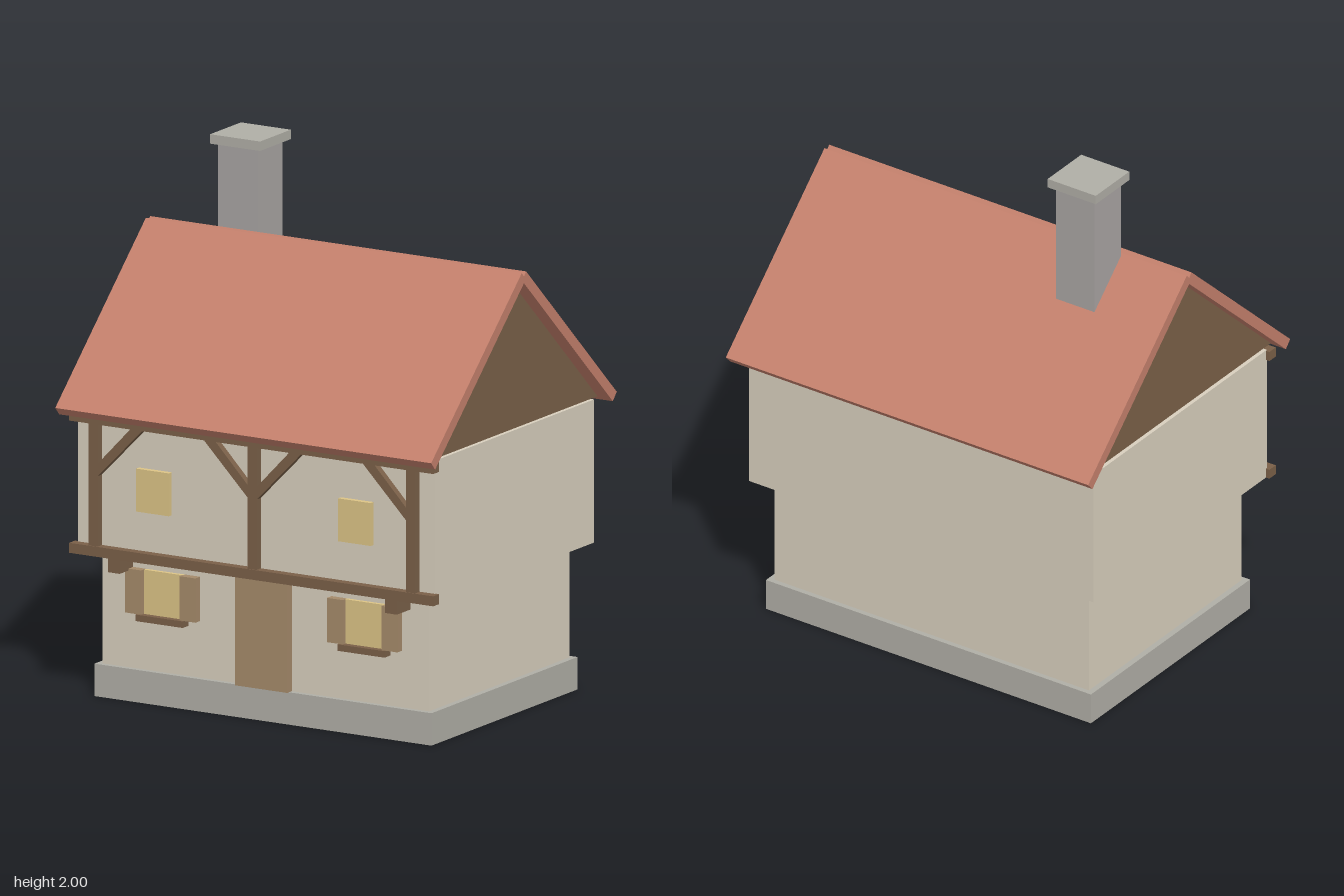
import * as THREE from 'three';

const mat = (color) => new THREE.MeshStandardMaterial({ color });
const plaster = mat(0xd8cfbd);
const stone = mat(0xb0aea6);
const brick = mat(0xa8a4a2);
const wood = mat(0x7a6048);
const doorWood = mat(0xa58a6a);
const glass = mat(0xdcc486);
const tile = mat(0xc4806c);

export function createModel() {
  const house = new THREE.Group();
  house.name = 'house';

  // Box given by its extents along each axis
  const box = (name, material, [x0, x1], [y0, y1], [z0, z1], parent = house) => {
    const mesh = new THREE.Mesh(new THREE.BoxGeometry(x1 - x0, y1 - y0, z1 - z0), material);
    mesh.position.set((x0 + x1) / 2, (y0 + y1) / 2, (z0 + z1) / 2);
    mesh.name = name;
    parent.add(mesh);
    return mesh;
  };

  // Masonry base and two storeys, the upper one jutting out
  box('foundation', stone, [-0.713, 0.713], [0, 0.12], [-0.5, 0.5]);
  box('lowerStorey', plaster, [-0.69, 0.69], [0.12, 0.54], [-0.48, 0.48]);
  box('upperStorey', plaster, [-0.755, 0.755], [0.54, 1.07], [-0.545, 0.545]);

  // Gable prism under the roof
  const triangle = new THREE.Shape([
    new THREE.Vector2(-0.6, 1.07),
    new THREE.Vector2(0.6, 1.07),
    new THREE.Vector2(0, 1.62),
  ]);
  const gableGeometry = new THREE.ExtrudeGeometry(triangle, { depth: 1.48, bevelEnabled: false });
  gableGeometry.translate(0, 0, -0.74).rotateY(Math.PI / 2);
  const gable = new THREE.Mesh(gableGeometry, wood);
  gable.name = 'gable';
  house.add(gable);

  // Two roof slabs meeting in a small notch at the ridge
  const pitch = Math.atan2(0.575, 0.62);
  const thickness = 0.04;
  for (const side of [1, -1]) {
    const slab = new THREE.Mesh(new THREE.BoxGeometry(1.59, thickness, 0.846), tile);
    slab.rotation.x = side * pitch;
    slab.position.set(
      0,
      1.3725 - (Math.cos(pitch) * thickness) / 2,
      side * (0.325 - (Math.sin(pitch) * thickness) / 2),
    );
    slab.name = side > 0 ? 'frontRoof' : 'backRoof';
    house.add(slab);
  }

  // Chimney
  box('chimneyStack', brick, [-0.512, -0.343], [1.35, 1.965], [-0.19, -0.022]);
  box('chimneyCap', stone, [-0.533, -0.322], [1.965, 2], [-0.212, -0.001]);

  // Timber frame on the front
  const frame = new THREE.Group();
  frame.name = 'timberFrame';
  house.add(frame);
  box('bottomBeam', wood, [-0.77, 0.77], [0.54, 0.577], [0.54, 0.58], frame);
  box('topBeam', wood, [-0.77, 0.77], [1.03, 1.068], [0.54, 0.58], frame);
  for (const x of [-0.672, 0, 0.672]) {
    box('post', wood, [x - 0.019, x + 0.019], [0.577, 1.03], [0.54, 0.576], frame);
  }

  // Diagonal braces rising from each post
  const brace = (x, direction) => {
    const shape = new THREE.Shape([
      [0.019, 0.838], [0.019, 0.885], [0.157, 1.03], [0.207, 1.03],
    ].map(([dx, y]) => new THREE.Vector2(x + direction * dx, y)));
    const geometry = new THREE.ExtrudeGeometry(shape, { depth: 0.032, bevelEnabled: false });
    const mesh = new THREE.Mesh(geometry, wood);
    mesh.position.z = 0.54;
    mesh.name = 'brace';
    frame.add(mesh);
  };
  brace(-0.672, 1);
  brace(0, -1);
  brace(0, 1);
  brace(0.672, -1);

  // Door
  box('door', doorWood, [-0.11, 0.11], [0.12, 0.54], [0.47, 0.512]);

  // Brackets and windows, mirrored left and right
  for (const side of [-1, 1]) {
    const span = (centre, width) => [side * centre - width / 2, side * centre + width / 2];
    box('bracket', wood, span(0.586, 0.05), [0.487, 0.54], [0.47, 0.572]);
    box('upperWindow', glass, span(0.427, 0.138), [0.725, 0.884], [0.54, 0.565]);
    box('lowerWindow', glass, span(0.424, 0.165), [0.33, 0.494], [0.47, 0.495]);
    box('windowSill', wood, span(0.427, 0.2), [0.306, 0.33], [0.47, 0.52]);
    for (const offset of [-0.115, 0.115]) {
      box('shutter', doorWood, span(0.427 + offset, 0.068), [0.33, 0.494], [0.475, 0.512]);
    }
  }

  return house;
}
